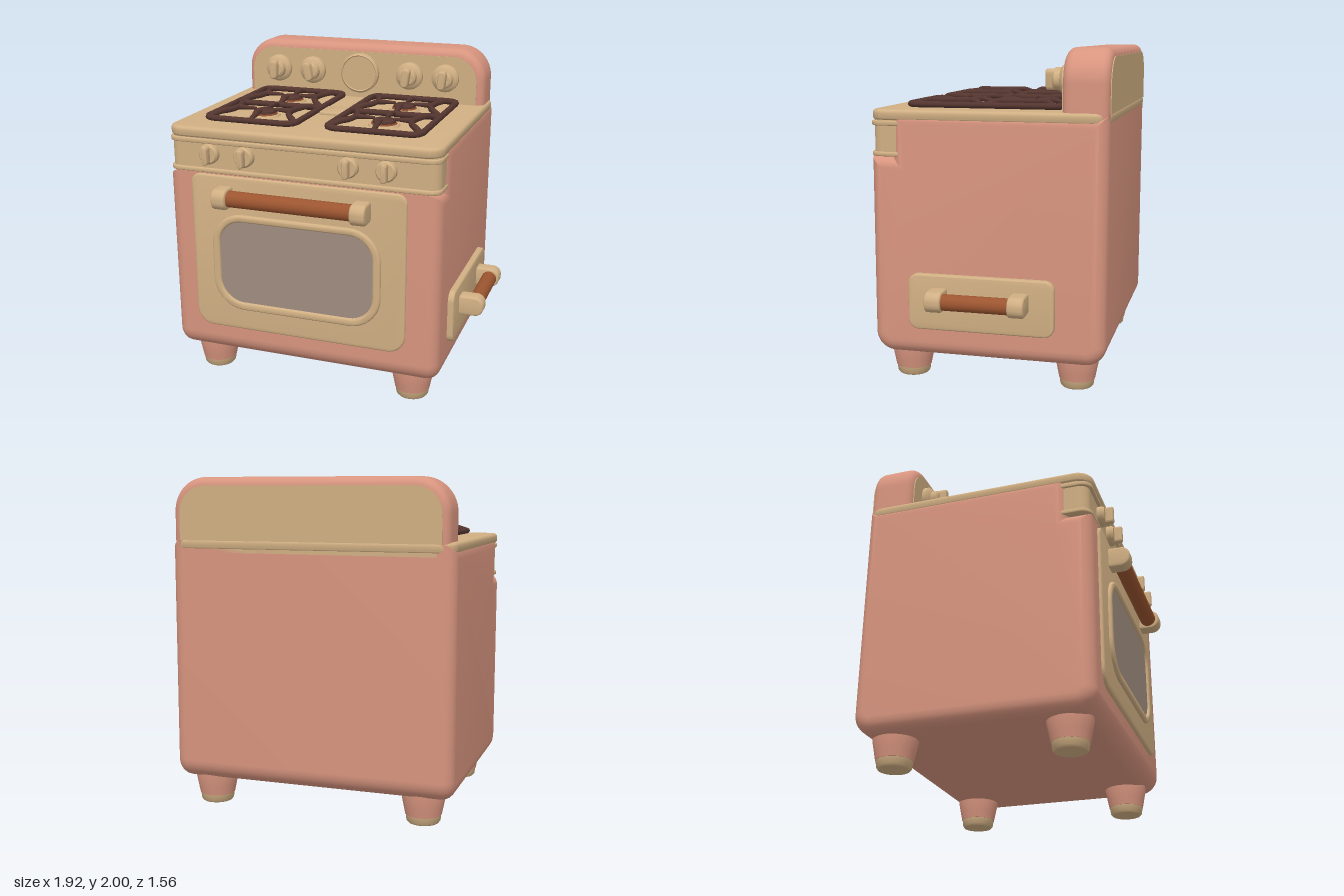
import * as THREE from 'three';
import { toCreasedNormals } from 'three/addons/utils/BufferGeometryUtils.js';

const mat = (name, color) => {
  const m = new THREE.MeshStandardMaterial({ color });
  m.name = name;
  return m;
};

// rounded rectangle outline: rt = radius of the top corners, rb = of the bottom ones
function rrect(x0, y0, x1, y1, rt, rb = rt, S = THREE.Shape) {
  const s = new S();
  s.moveTo(x0 + rb, y0);
  s.lineTo(x1 - rb, y0);
  if (rb) s.absarc(x1 - rb, y0 + rb, rb, -Math.PI / 2, 0);
  s.lineTo(x1, y1 - rt);
  if (rt) s.absarc(x1 - rt, y1 - rt, rt, 0, Math.PI / 2);
  s.lineTo(x0 + rt, y1);
  if (rt) s.absarc(x0 + rt, y1 - rt, rt, Math.PI / 2, Math.PI);
  s.lineTo(x0, y0 + rb);
  if (rb) s.absarc(x0 + rb, y0 + rb, rb, Math.PI, Math.PI * 1.5);
  return s;
}

// extrusion filling a to b along z, with edges rounded inwards
function extrude(shape, a, b, bevel = 0) {
  const g = new THREE.ExtrudeGeometry(shape, {
    depth: b - a - 2 * bevel, curveSegments: 8, bevelEnabled: bevel > 0,
    bevelThickness: bevel, bevelSize: bevel, bevelOffset: -bevel, bevelSegments: 5,
  });
  g.translate(0, 0, a + bevel);
  return toCreasedNormals(g, 0.6);
}
// extrusion along y (outline in x, -z) and along x (outline in -z, y)
const slab = (x0, z0, x1, z1, r, y0, y1, bevel) =>
  extrude(rrect(x0, -z1, x1, -z0, r), y0, y1, bevel).rotateX(-Math.PI / 2);
const alongX = (shape, x0, x1, bevel) => extrude(shape, x0, x1, bevel).rotateY(Math.PI / 2);

const lathe = (pts) =>
  toCreasedNormals(new THREE.LatheGeometry(pts.map(([r, y]) => new THREE.Vector2(r, y)), 32), 0.6);

// tapered rod between two points
function rod(a, b, ra, rb = ra, seg = 10) {
  const A = new THREE.Vector3(...a), B = new THREE.Vector3(...b), d = B.clone().sub(A);
  const g = new THREE.CylinderGeometry(rb, ra, d.length(), seg);
  g.applyQuaternion(new THREE.Quaternion().setFromUnitVectors(new THREE.Vector3(0, 1, 0), d.normalize()));
  const c = A.add(B).multiplyScalar(0.5);
  return g.translate(c.x, c.y, c.z);
}

export function createModel() {
  const root = new THREE.Group();
  const pink = mat('pinkEnamel', 0xd8957f), cream = mat('creamEnamel', 0xd0af83);
  const wood = mat('wood', 0x9c5530), iron = mat('castIron', 0x553630), glass = mat('glass', 0x9f8c80);
  const add = (name, geo, m, parent = root) => {
    const mesh = new THREE.Mesh(geo, m);
    mesh.name = name;
    parent.add(mesh);
    return mesh;
  };
  const group = (name, x = 0, y = 0, z = 0) => {
    const g = new THREE.Group();
    g.name = name;
    g.position.set(x, y, z);
    root.add(g);
    return g;
  };
  const MX = -0.095; // middle of the cabinet

  // cabinet: side profile with a step for the control panel
  const p = new THREE.Shape();
  p.moveTo(-0.52, 0.17);
  p.lineTo(0.65, 0.17);
  p.absarc(0.65, 0.29, 0.12, -Math.PI / 2, 0);
  p.lineTo(0.77, 1.63);
  p.lineTo(-0.51, 1.63);
  p.lineTo(-0.51, 1.365);
  p.lineTo(-0.64, 1.365);
  p.lineTo(-0.64, 0.29);
  p.absarc(-0.52, 0.29, 0.12, Math.PI, Math.PI * 1.5);
  add('cabinet', alongX(p, -0.96, 0.77, 0.08), pink);

  // control panel with upper and lower lips
  add('controlPanel', slab(-0.94, 0.2, 0.755, 0.625, 0.06, 1.37, 1.58, 0), cream);
  add('panelLowerLip', slab(-0.95, 0.2, 0.762, 0.643, 0.07, 1.365, 1.392, 0.008), cream);
  add('panelUpperLip', slab(-0.95, 0.2, 0.762, 0.643, 0.07, 1.545, 1.575, 0.008), cream);

  // cooktop
  add('cooktopSeam', slab(-0.945, -0.77, 0.755, 0.635, 0.09, 1.56, 1.59, 0), cream);
  add('cooktop', slab(-0.955, -0.775, 0.765, 0.645, 0.1, 1.575, 1.64, 0.022), cream);
  add('cooktopBridge', slab(-0.18, -0.1, -0.015, 0.08, 0.015, 1.63, 1.66, 0.008), cream);

  // backsplash with front and rear faces
  add('backsplash', extrude(rrect(-0.925, 1.56, 0.75, 2, 0.2, 0), -0.77, -0.5, 0.055), pink);
  const face = rrect(-0.885, 1.63, 0.7, 1.95, 0.16, 0);
  add('backsplashFront', extrude(face, -0.504, -0.496), cream);
  add('backsplashBack', extrude(face, -0.775, -0.767), cream);

  // round dial
  const dial = group('dial', MX, 1.81, -0.5);
  add('dialDisc', lathe([[0, 0], [0.132, 0], [0.132, 0.035], [0.12, 0.045], [0.115, 0.038], [0, 0.038]])
    .rotateX(Math.PI / 2), cream, dial);

  // upper knobs
  [[-0.685, 0], [-0.435, 0.2], [0.25, -0.15], [0.495, -0.1]].forEach(([x, turn]) => {
    const k = group('upperKnob', x, 1.81, -0.5);
    k.rotation.z = turn;
    add('knobBase', lathe([[0, 0], [0.09, 0], [0.09, 0.03], [0.075, 0.045], [0.062, 0.05],
      [0.058, 0.085], [0.045, 0.095], [0, 0.095]]).rotateX(Math.PI / 2), cream, k);
    add('knobGrip', extrude(rrect(-0.026, -0.06, 0.026, 0.065, 0.026), 0.05, 0.14, 0.012), cream, k);
  });

  // panel knobs
  [-0.67, -0.44, 0.215, 0.445].forEach((x) => {
    const k = group('panelKnob', x, 1.485, 0.62);
    add('knobBase', lathe([[0, 0], [0.062, 0], [0.062, 0.035], [0.052, 0.048], [0, 0.048]])
      .rotateX(Math.PI / 2), cream, k);
    add('knobGrip', extrude(rrect(-0.018, -0.056, 0.018, 0.056, 0.016), 0.03, 0.095, 0.01), cream, k);
  });

  // oven door, window and raised surround
  add('door', extrude(rrect(-0.795, 0.36, 0.575, 1.36, 0.06, 0.11), 0.6, 0.658, 0.015), cream);
  const ring = rrect(-0.66, 0.5, 0.425, 1.125, 0.2);
  ring.holes.push(rrect(-0.61, 0.55, 0.375, 1.08, 0.15, 0.15, THREE.Path));
  add('windowSurround', extrude(ring, 0.64, 0.678, 0.016), cream);
  add('windowGlass', extrude(rrect(-0.63, 0.53, 0.395, 1.1, 0.17), 0.655, 0.662), glass);

  // door handle
  const doorHandle = group('doorHandle');
  add('bar', rod([-0.54, 1.24, 0.715], [0.3, 1.24, 0.715], 0.05, 0.05, 24), wood, doorHandle);
  [[-0.605, -0.515], [0.265, 0.36]].forEach(([a, b]) =>
    add('bracket', alongX(rrect(-0.785, 1.175, -0.62, 1.302, 0.055), a, b, 0.014), cream, doorHandle));

  // side plate and handle
  add('sidePlate', alongX(rrect(-0.4, 0.345, 0.48, 0.68, 0.06), 0.75, 0.808, 0.012), cream);
  const sideHandle = group('sideHandle');
  add('bar', rod([0.895, 0.545, -0.27], [0.895, 0.545, 0.19], 0.048, 0.048, 24), wood, sideHandle);
  [[-0.332, -0.235], [0.157, 0.255]].forEach(([a, b]) =>
    add('bracket', extrude(rrect(0.77, 0.485, 0.958, 0.607, 0.055), a, b, 0.014), cream, sideHandle));

  // feet
  for (const x of [-0.755, 0.575]) for (const z of [0.45, -0.58]) {
    const f = group('foot', x, 0, z);
    add('footCup', lathe([[0, 0.05], [0.108, 0.05], [0.118, 0.1], [0.132, 0.17], [0.132, 0.24]]), pink, f);
    add('footCap', lathe([[0, 0], [0.09, 0], [0.1, 0.012], [0.106, 0.055], [0, 0.055]]), cream, f);
  }

  // grates and burners
  for (const cx of [-0.49, 0.295]) {
    const grate = group('grate', cx, 0, 0);
    const Y = 1.662, H = 1.682, R = 0.019;
    const rim = rrect(-0.292, -0.48, 0.292, 0.46, 0.06).getSpacedPoints(64).slice(0, -1)
      .map((q) => new THREE.Vector3(q.x, Y, q.y));
    add('rim', new THREE.TubeGeometry(new THREE.CatmullRomCurve3(rim, true), 96, R, 8, true), iron, grate);
    add('crossBar', rod([-0.292, Y, -0.01], [0.292, Y, -0.01], R), iron, grate);
    for (const cz of [-0.225, 0.21]) {
      for (const s of [-1, 1]) {
        // curved arms from the rim corners joining into one finger
        for (const t of [-1, 1]) {
          const arm = new THREE.CatmullRomCurve3([
            [0.285, Y, 0.2], [0.235, H, 0.155], [0.195, H, 0.08], [0.18, H, 0],
          ].map(([x, y, z]) => new THREE.Vector3(s * x, y, cz + t * z)));
          add('arm', new THREE.TubeGeometry(arm, 14, R, 8), iron, grate);
        }
        add('sideFinger', rod([s * 0.185, H, cz], [s * 0.06, H, cz], R, 0.009), iron, grate);
        // straight fingers from the front and back bars
        add('finger', rod([0, Y, cz + s * 0.225], [0, H, cz + s * 0.13], 0.012, 0.019), iron, grate);
        add('fingerTip', rod([0, H, cz + s * 0.13], [0, H, cz + s * 0.05], 0.019, 0.007), iron, grate);
      }
      const b = group('burner', cx, 1.638, cz);
      add('burnerBase', lathe([[0, 0], [0.1, 0], [0.092, 0.014], [0, 0.014]]), cream, b);
      add('burnerRing', lathe([[0, 0.01], [0.08, 0.01], [0.078, 0.022], [0, 0.022]]), wood, b);
      add('burnerCap', lathe([[0, 0.02], [0.072, 0.02], [0.07, 0.036], [0.06, 0.042], [0, 0.042]]), iron, b);
    }
  }
  return root;
}
